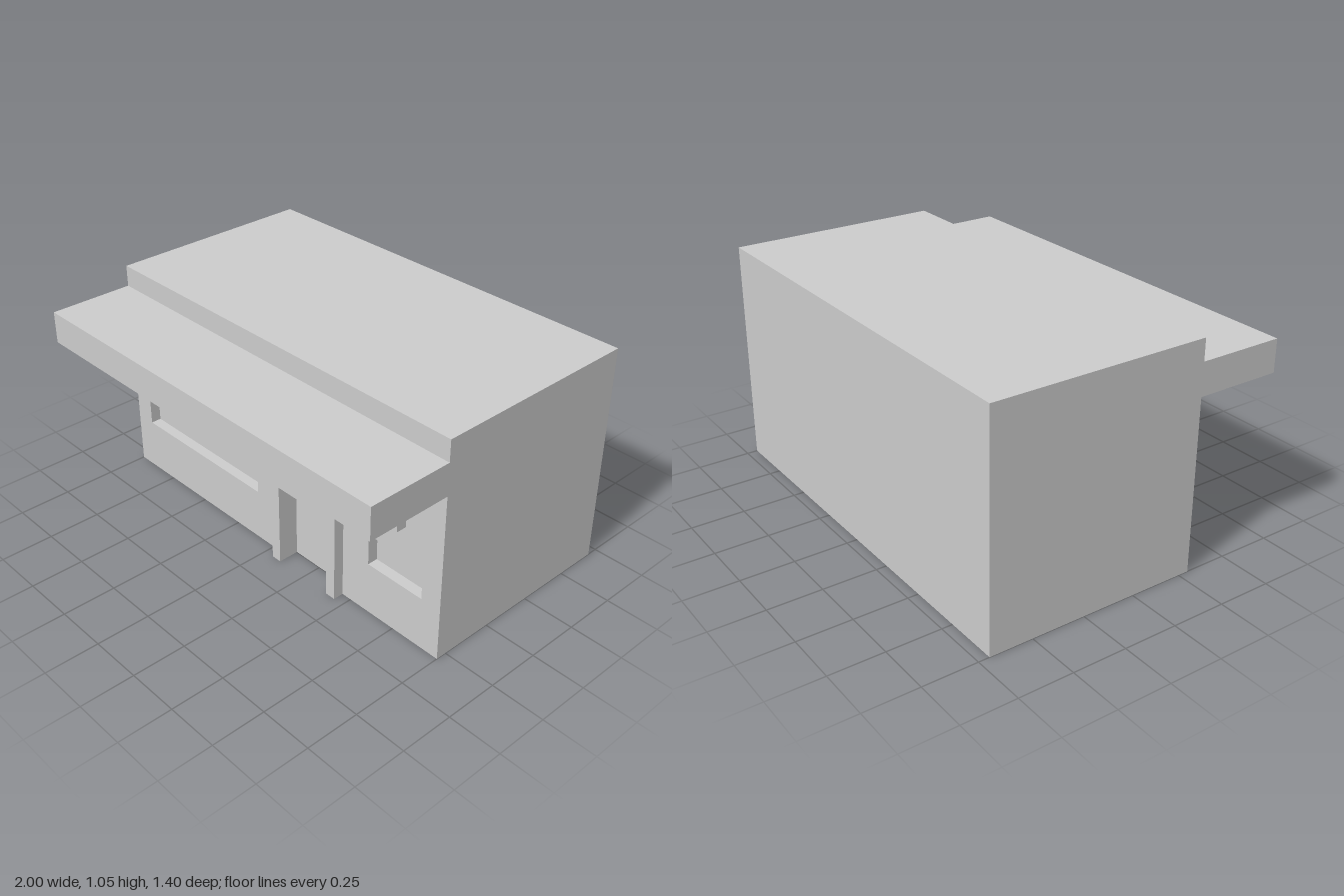
import * as THREE from 'three';

const material = new THREE.MeshStandardMaterial({ color: 0xcccccc, flatShading: true });

// Counter-clockwise rectangle outline in the xy plane
const rect = (x0, x1, y0, y1) =>
  [[x0, y0], [x1, y0], [x1, y1], [x0, y1]].map(([x, y]) => new THREE.Vector2(x, y));

export function createModel() {
  const group = new THREE.Group();
  group.name = 'storefront';

  const add = (name, geometry) => {
    const mesh = new THREE.Mesh(geometry, material);
    mesh.name = name;
    group.add(mesh);
  };

  // Box given by its extents on each axis
  const box = (name, [x0, x1], [y0, y1], [z0, z1]) =>
    add(name, new THREE.BoxGeometry(x1 - x0, y1 - y0, z1 - z0)
      .translate((x0 + x1) / 2, (y0 + y1) / 2, (z0 + z1) / 2));

  // Flat outline with holes, extruded from z0 to z1
  const slab = (name, outline, holes, [z0, z1]) => {
    const shape = new THREE.Shape(outline);
    shape.holes = holes.map((points) => new THREE.Path(points));
    add(name, new THREE.ExtrudeGeometry(shape, { depth: z1 - z0, bevelEnabled: false })
      .translate(0, 0, z0));
  };

  // Building body; its front face is the back of the window and door recesses
  box('buildingBody', [-1, 1], [0, 1.05], [-0.7, 0.25]);

  // Front wall, notched for the door and pierced for the two windows
  const doorway = [[0.1, 0], [0.1, 0.4], [0.4, 0.4], [0.4, 0]].map(([x, y]) => new THREE.Vector2(x, y));
  const [a, b, c, d] = rect(-1, 1, 0, 1.05);
  slab('frontWall', [a, ...doorway, b, c, d],
    [rect(-0.9, -0.1, 0.25, 0.4), rect(0.6, 0.9, 0.25, 0.4)], [0.25, 0.3]);

  // Raised surround of the doorway
  const [e, f, g, h] = rect(0.05, 0.45, 0, 0.45);
  slab('doorFrame', [e, ...doorway, f, g, h], [], [0.3, 0.35]);

  // Blank sign board and full-width canopy
  box('signBoard', [-0.25, 0.8], [0.55, 0.75], [0.3, 0.35]);
  box('canopy', [-1, 1], [0.8, 0.95], [0.3, 0.7]);

  return group;
}
